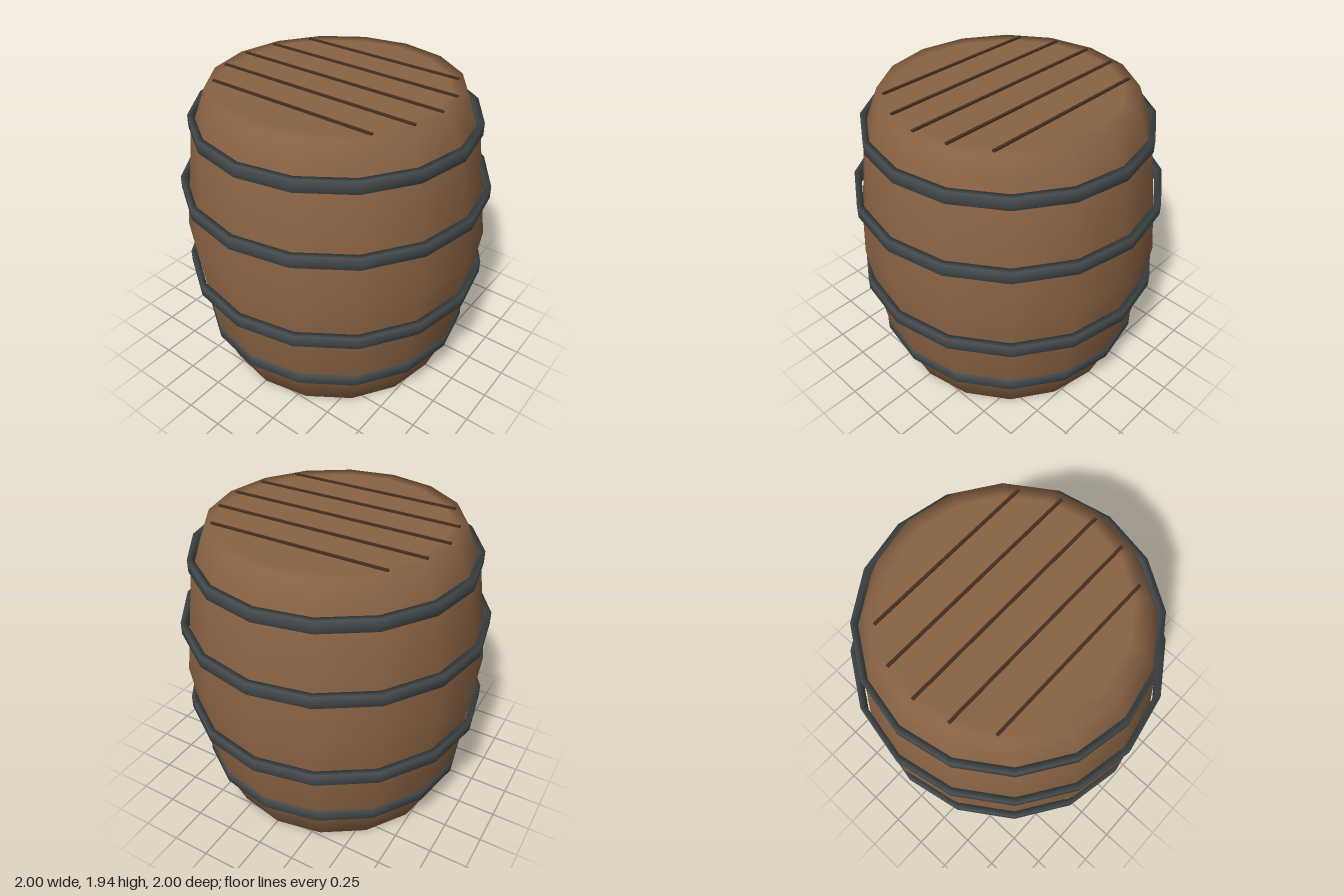
import * as THREE from 'three';

const SIDES = 16;

const wood = new THREE.MeshStandardMaterial({ color: 0x8a6344 });
wood.name = 'wood';
const iron = new THREE.MeshStandardMaterial({ color: 0x474e50 });
iron.name = 'iron';
const seam = new THREE.MeshStandardMaterial({ color: 0x453020 });
seam.name = 'darkSeam';

function lathe(points, material, name) {
  const profile = points.map(([r, y]) => new THREE.Vector2(r, y));
  const mesh = new THREE.Mesh(new THREE.LatheGeometry(profile, SIDES), material);
  mesh.name = name;
  return mesh;
}

// Rectangular hoop with its inner wall, centred on height y
function hoop(y, outer, inner, name) {
  const h = 0.04;
  return lathe([
    [inner, y - h], [outer, y - h], [outer, y + h], [inner, y + h], [inner, y - h],
  ], iron, name);
}

export function createModel() {
  const barrel = new THREE.Group();
  barrel.name = 'barrel';

  // Bulging body with closed, softly shaded ends
  barrel.add(lathe([
    [0, 0], [0.7, 0], [0.79, 0], [0.9, 0.285], [0.99, 0.975],
    [0.9, 1.645], [0.79, 1.928], [0.7, 1.928], [0, 1.928],
  ], wood, 'body'));

  // Iron hoops, standing slightly off the body at the middle
  barrel.add(
    hoop(0.292, 0.91, 0.872, 'bottomHoop'),
    hoop(0.7, 1, 0.962, 'lowerHoop'),
    hoop(1.288, 1, 0.962, 'upperHoop'),
    hoop(1.716, 0.91, 0.872, 'topHoop'),
  );

  // Plank seams on the lid, shorter towards the rim
  const halfLengths = [0.585, 0.707, 0.745, 0.707, 0.585];
  halfLengths.forEach((half, i) => {
    const line = new THREE.Mesh(new THREE.BoxGeometry(0.018, 0.02, half * 2), seam);
    line.name = 'lidSeam' + (i + 1);
    line.position.set((i - 2) * 0.229, 1.929, 0);
    barrel.add(line);
  });

  return barrel;
}
